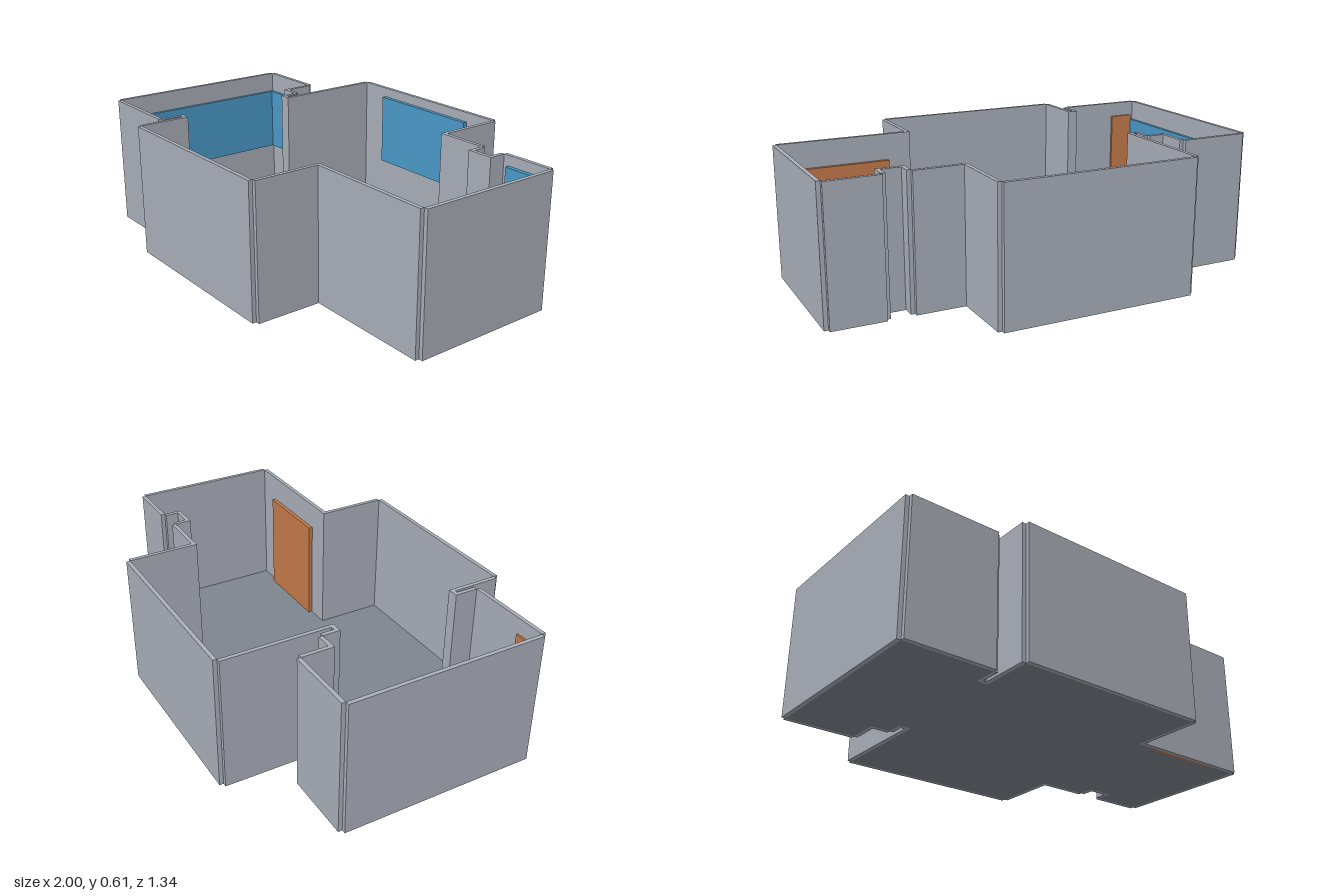
import * as THREE from 'three';

const WALL_HEIGHT = 0.61;
const WALL_THICK = 0.0185;

// Inner room outline as [x, z], clockwise seen from above
const OUTLINE = [
  [-0.98, -0.373], [-0.66, -0.373], [-0.66, -0.225], [-0.57, -0.225],
  [-0.57, -0.145], [-0.515, -0.145], [-0.515, -0.652], [0.375, -0.652],
  [0.375, -0.331], [0.615, -0.331], [0.615, -0.256], [0.74, -0.256],
  [0.74, -0.335], [0.98, -0.335], [0.98, 0.334], [0.366, 0.334],
  [0.366, 0.652], [-0.525, 0.652], [-0.525, 0.415], [-0.575, 0.415],
  [-0.575, 0.522], [-0.98, 0.522],
];

const mat = (name, color) => {
  const m = new THREE.MeshStandardMaterial({ color });
  m.name = name;
  return m;
};

// Box given by its minimum and maximum corners
function block(name, material, min, max) {
  const size = max.map((v, i) => v - min[i]);
  const mesh = new THREE.Mesh(new THREE.BoxGeometry(...size), material);
  mesh.position.set(...max.map((v, i) => (v + min[i]) / 2));
  mesh.name = name;
  return mesh;
}

export function createModel() {
  const group = new THREE.Group();
  group.name = 'roomShell';
  const wallGrey = mat('wall grey', 0xa9aeb8);
  const floorGrey = mat('floor grey', 0x7e868e);
  const windowBlue = mat('window blue', 0x4a99c9);
  const doorOrange = mat('door orange', 0xc47a4a);

  // Floor slab inside the walls
  const shape = new THREE.Shape(OUTLINE.map(([x, z]) => new THREE.Vector2(x, -z)));
  const floorGeo = new THREE.ExtrudeGeometry(shape, { depth: 0.004, bevelEnabled: false });
  floorGeo.rotateX(-Math.PI / 2);
  const floor = new THREE.Mesh(floorGeo, floorGrey);
  floor.name = 'floor';
  group.add(floor);

  // One wall per outline edge, thickened outward; outer corners stay notched
  const walls = new THREE.Group();
  walls.name = 'walls';
  OUTLINE.forEach(([ax, az], i) => {
    const [bx, bz] = OUTLINE[(i + 1) % OUTLINE.length];
    const nx = Math.sign(bz - az) * WALL_THICK;
    const nz = -Math.sign(bx - ax) * WALL_THICK;
    walls.add(block('wall', wallGrey,
      [Math.min(ax, bx, ax + nx), 0, Math.min(az, bz, az + nz)],
      [Math.max(ax, bx, ax + nx), WALL_HEIGHT, Math.max(az, bz, az + nz)]));
  });
  group.add(walls);

  // Window panels on the inner wall faces
  group.add(
    block('backWindow', windowBlue, [-0.365, 0.225, -0.652], [0.215, 0.565, -0.632]),
    block('rightBackWindow', windowBlue, [0.768, 0.225, -0.335], [0.946, 0.565, -0.315]),
    block('leftBackWindow', windowBlue, [-0.965, 0.21, -0.373], [-0.66, 0.515, -0.357]),
    block('leftSideWindow', windowBlue, [-0.98, 0.21, -0.373], [-0.965, 0.515, 0.522]),
  );

  // Door panels
  group.add(
    block('rightFrontDoor', doorOrange, [0.475, 0, 0.316], [0.86, 0.49, 0.334]),
    block('leftFrontDoor', doorOrange, [-0.965, 0, 0.512], [-0.85, 0.54, 0.522]),
  );

  return group;
}
